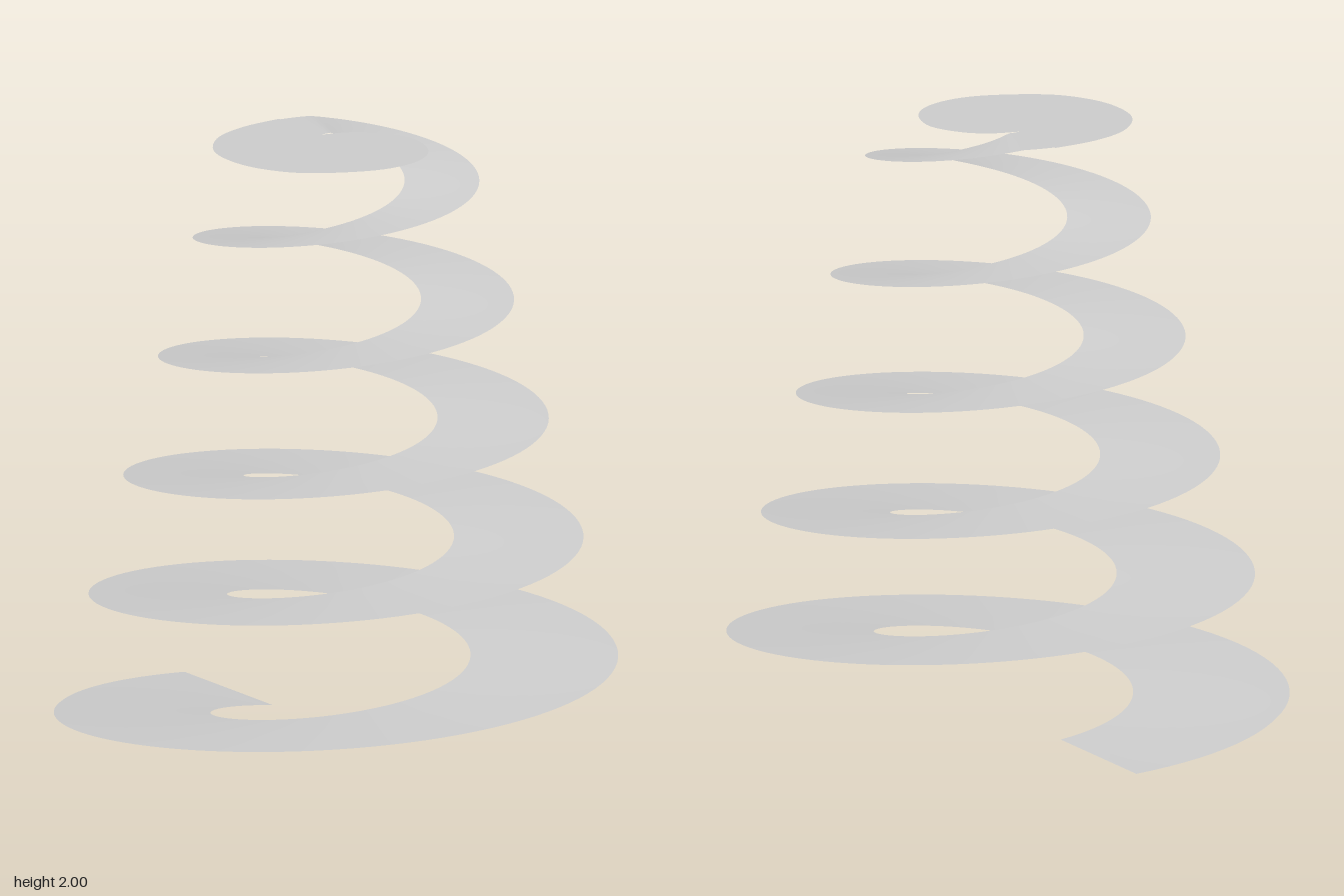
import * as THREE from 'three';

const TURNS = 5, STEPS = 480, TOP = 2;
const CX = 0.03, CZ = 0.044; // spiral axis

const material = new THREE.MeshStandardMaterial({ color: 0xcccccc, side: THREE.DoubleSide });

// Edge radii shrink with each turn t; the ends splay slightly.
const outerRadius = t => 0.98 - 0.1148 * t + 0.029 * Math.max(0, 1 - t / 0.12);
const innerRadius = t => 0.452 - 0.0545 * t - 0.03 * Math.max(0, 1 - (TURNS - t) / 0.12);

// Flat ribbon climbing the tapered helix
function spiralRibbon() {
  const positions = [], indices = [];
  for (let i = 0; i <= STEPS; i++) {
    const t = TURNS * i / STEPS, a = t * Math.PI * 2;
    const y = Math.min(TOP, 0.4035 * t);
    for (const r of [innerRadius(t), outerRadius(t)]) {
      positions.push(CX - r * Math.sin(a), y, CZ - r * Math.cos(a));
    }
    if (i < STEPS) {
      const k = i * 2;
      indices.push(k, k + 1, k + 2, k + 1, k + 3, k + 2);
    }
  }
  const geometry = new THREE.BufferGeometry();
  geometry.setAttribute('position', new THREE.Float32BufferAttribute(positions, 3));
  geometry.setIndex(indices);
  geometry.computeVertexNormals();
  return geometry;
}

// Flat top plate curling inward from the ribbon's upper end, as [x, z]
function topPlate() {
  const rim = [
    [0.03, -0.37], [-0.13, -0.335], [-0.28, -0.25], [-0.39, -0.1], [-0.42, 0.06],
    [-0.39, 0.21], [-0.29, 0.34], [-0.08, 0.42], [0.09, 0.39], [0.21, 0.28],
    [0.26, 0.11], [0.21, -0.02], [0.13, -0.085], [0.03, -0.105],
  ].map(([x, z]) => new THREE.Vector2(x, -z));
  const shape = new THREE.Shape(new THREE.SplineCurve(rim).getPoints(80));
  return new THREE.ShapeGeometry(shape).rotateX(-Math.PI / 2).translate(0, TOP, 0);
}

export function createModel() {
  const group = new THREE.Group();
  group.name = 'spiralTower';
  const add = (name, geometry) => {
    const mesh = new THREE.Mesh(geometry, material);
    mesh.name = name;
    group.add(mesh);
  };
  add('spiralRibbon', spiralRibbon());
  add('topPlate', topPlate());
  return group;
}
